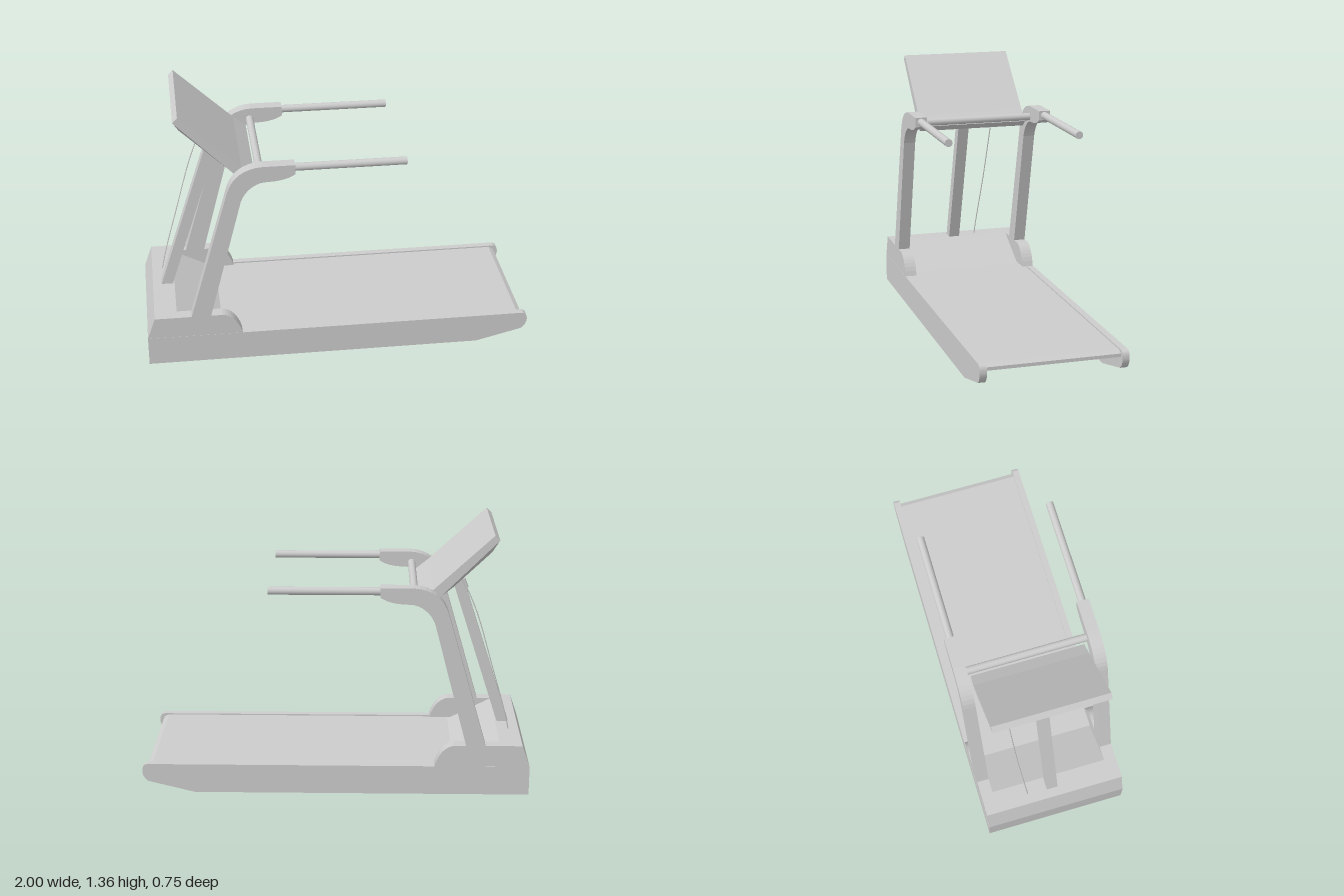
import * as THREE from 'three';
import { ConvexGeometry } from 'three/addons/geometries/ConvexGeometry.js';

const material = new THREE.MeshStandardMaterial({ color: 0xcccccc, side: THREE.DoubleSide });

export function createModel() {
  const model = new THREE.Group();

  const add = (name, geometry) => {
    const mesh = new THREE.Mesh(geometry, material);
    mesh.name = name;
    model.add(mesh);
    return mesh;
  };
  const outline = (points) => new THREE.Shape(points.map(([x, y]) => new THREE.Vector2(x, y)));
  // Side profile (x, y) extruded between two z positions
  const slab = (name, shape, z0, z1) => {
    const geometry = new THREE.ExtrudeGeometry(shape, { depth: z1 - z0, bevelEnabled: false, curveSegments: 8 });
    geometry.translate(0, 0, z0);
    return add(name, geometry);
  };
  // Same profile on both sides of the machine
  const pair = (name, shape, inner, outer) => {
    slab(name + 'Left', shape, inner, outer);
    slab(name + 'Right', shape, -outer, -inner);
  };

  // Side rails with chamfered, rounded rear ends
  const rail = outline([[-1, 0], [0.73, 0], [0.97, 0.06]]);
  rail.quadraticCurveTo(1, 0.085, 1, 0.115);
  rail.quadraticCurveTo(1, 0.155, 0.97, 0.155);
  rail.lineTo(-1, 0.155);
  pair('sideRail', rail, 0.34, 0.376);

  // Fenders either side of the motor hood
  const fender = outline([[-1, 0.155], [-0.51, 0.155]]);
  fender.bezierCurveTo(-0.53, 0.23, -0.57, 0.265, -0.61, 0.27);
  fender.lineTo(-0.96, 0.27);
  pair('fender', fender, 0.312, 0.375);

  // Motor hood: a thin shell, open underneath
  slab('motorHood', outline([
    [-1, 0], [-1, 0.155], [-0.96, 0.27], [-0.845, 0.27], [-0.61, 0.148],
    [-0.63, 0.148], [-0.85, 0.26], [-0.952, 0.26], [-0.99, 0.153], [-0.99, 0],
  ]), -0.34, 0.34);

  // Thin running deck and the sloping cover below its rear roller
  slab('runningDeck', outline([[-0.78, 0.13], [0.95, 0.13], [0.95, 0.148], [-0.78, 0.148]]), -0.34, 0.34);
  slab('rearRollerCover', outline([
    [0.63, 0.037], [0.975, 0.118], [0.975, 0.135], [0.95, 0.148], [0.92, 0.13], [0.63, 0.06],
  ]), -0.34, 0.34);

  // Leaning uprights that bend into the handle sockets
  const upright = outline([[-0.67, 0.27], [-0.5, 0.92]]);
  upright.bezierCurveTo(-0.48, 0.98, -0.43, 1.02, -0.38, 1.025);
  upright.bezierCurveTo(-0.32, 1.027, -0.27, 1.03, -0.225, 1.06);
  upright.lineTo(-0.225, 1.11);
  upright.lineTo(-0.39, 1.11);
  upright.bezierCurveTo(-0.48, 1.105, -0.54, 1.06, -0.565, 0.98);
  upright.lineTo(-0.77, 0.27);
  pair('upright', upright, 0.312, 0.375);

  // Handlebars
  for (const [side, label] of [[1, 'Left'], [-1, 'Right']]) {
    const bar = add('handlebar' + label, new THREE.CylinderGeometry(0.02, 0.02, 0.57, 20));
    bar.rotation.z = Math.PI / 2;
    bar.position.set(0.052, 1.085, side * 0.343);
  }

  // Crossbar between the uprights
  const crossbar = add('crossbar', new THREE.CylinderGeometry(0.02, 0.02, 0.63, 20));
  crossbar.rotation.x = Math.PI / 2;
  crossbar.position.set(-0.397, 1.05, 0);

  // Console: tilted panel, lower ledge and tapered back
  slab('consolePanel', outline([[-0.815, 1.335], [-0.79, 1.36], [-0.487, 1.077], [-0.52, 1.037]]), -0.295, 0.295);
  slab('consoleLedge', outline([[-0.52, 1.037], [-0.487, 1.077], [-0.42, 1.022], [-0.46, 0.99]]), -0.295, 0.295);
  const back = [];
  for (const s of [-1, 1]) {
    back.push(
      new THREE.Vector3(-0.815, 1.335, s * 0.29), new THREE.Vector3(-0.52, 1.037, s * 0.29),
      new THREE.Vector3(-0.785, 1.25, s * 0.2), new THREE.Vector3(-0.595, 1.066, s * 0.2),
    );
  }
  add('consoleBack', new ConvexGeometry(back));

  // Central console post
  slab('consolePost', outline([[-0.915, 0.265], [-0.855, 0.265], [-0.59, 1.085], [-0.635, 1.125]]), -0.03, 0.03);

  // Cable hanging from the console back down through the hood, with its plug
  const cable = new THREE.CatmullRomCurve3([
    new THREE.Vector3(-0.93, 0.03, -0.115), new THREE.Vector3(-0.905, 0.27, -0.135),
    new THREE.Vector3(-0.805, 0.64, -0.165), new THREE.Vector3(-0.715, 0.94, -0.181),
    new THREE.Vector3(-0.645, 1.1, -0.185),
  ]);
  add('cable', new THREE.TubeGeometry(cable, 28, 0.003, 6));
  const plug = add('cablePlug', new THREE.CylinderGeometry(0.009, 0.009, 0.05, 10));
  plug.position.set(-0.655, 1.085, -0.185);
  plug.rotation.z = -0.38;

  return model;
}
